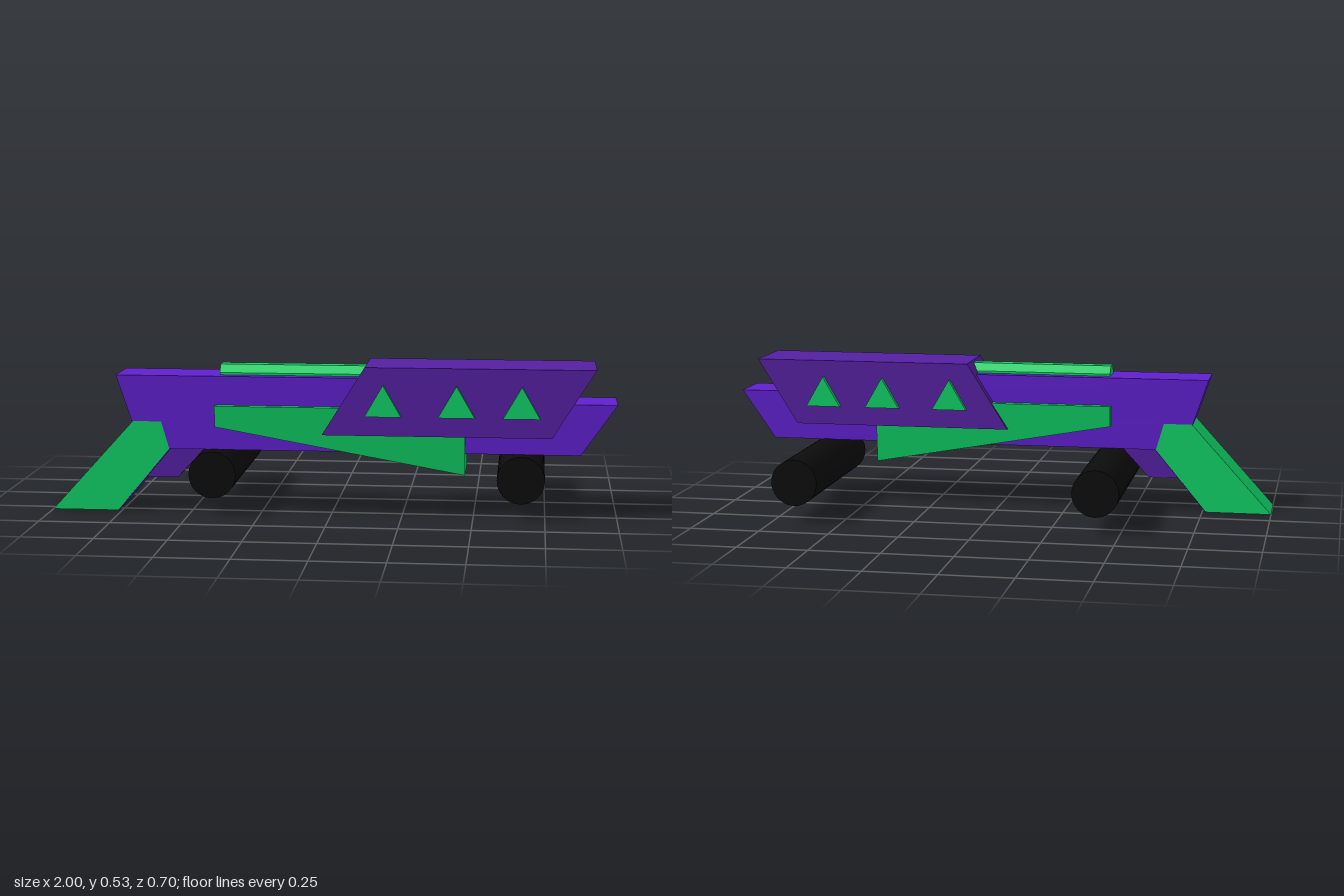
import * as THREE from 'three';

const ZC = 0.1965; // centre plane of the blaster

function mat(name, color) {
  const m = new THREE.MeshStandardMaterial({ color });
  m.name = name;
  return m;
}

// Side profile in x/y, extruded evenly about the centre plane
function profile(points, width) {
  const shape = new THREE.Shape(points.map(p => new THREE.Vector2(p[0], p[1])));
  const g = new THREE.ExtrudeGeometry(shape, { depth: width, bevelEnabled: false });
  return g.translate(0, 0, -width / 2);
}

// Rectangular frame running along x, sheared so that its ends slant with y
function slantedFrame(half, y0, y1, holeHalf, h0, h1, xBottom, slope, length) {
  const rect = (w, a, b) => [[-w, a], [w, a], [w, b], [-w, b]].map(p => new THREE.Vector2(...p));
  const shape = new THREE.Shape(rect(half, y0, y1));
  shape.holes.push(new THREE.Path(rect(holeHalf, h0, h1).reverse()));
  const g = new THREE.ExtrudeGeometry(shape, { depth: length, bevelEnabled: false });
  g.rotateY(Math.PI / 2);
  const p = g.attributes.position;
  for (let i = 0; i < p.count; i++) {
    p.setX(i, p.getX(i) + xBottom - length + slope * (p.getY(i) - y0));
  }
  g.computeVertexNormals();
  return g;
}

export function createModel() {
  const violet = mat('violet', 0x6020d0);
  const plum = mat('plum', 0x5620a4);
  const green = mat('green', 0x10d468);
  const black = mat('black', 0x0c0c0c);

  const model = new THREE.Group();
  model.name = 'blasterOnStand';
  const blaster = new THREE.Group();
  blaster.name = 'blaster';
  blaster.position.z = ZC;
  model.add(blaster);

  const add = (name, geometry, material, parent = blaster) => {
    const m = new THREE.Mesh(geometry, material);
    m.name = name;
    parent.add(m);
    return m;
  };

  // Main body, with a hollow slanted muzzle at its front end
  const d = 0.08;
  add('body', profile([
    [-0.765, 0.487], [-0.71, 0.323], [-0.605, 0.323], [-0.577, 0.226],
    [0.87 - d, 0.226], [0.995 - d, 0.405], [0.4, 0.405], [0.4, 0.487],
  ], 0.183), violet);
  add('muzzle', slantedFrame(0.0915, 0.226, 0.405, 0.06, 0.254, 0.376, 0.87, 0.125 / 0.179, d), violet);

  // Sleeve around the barrel, hollow at the front
  add('sleeve', profile([
    [-0.03, 0.29], [0.77 - d, 0.29], [0.92 - d, 0.53], [0.12, 0.53],
  ], 0.259), plum);
  add('sleeveRim', slantedFrame(0.1295, 0.29, 0.53, 0.1035, 0.313, 0.506, 0.77, 0.625, d), [violet, plum]);

  // Grip with a plate on its front face
  add('grip', profile([
    [-1, 0], [-0.765, 0], [-0.577, 0.226], [-0.605, 0.323], [-0.707, 0.323],
  ], 0.183), green);
  add('gripPlate', profile([
    [-0.764, 0.001], [-0.761, 0.001], [-0.573, 0.226], [-0.577, 0.226],
  ], 0.183), plum);

  // Trigger
  add('trigger', profile([
    [-0.665, 0.12], [-0.55, 0.12], [-0.45, 0.23], [-0.575, 0.23],
  ], 0.15), plum);

  // Wedge under the body, narrowing towards the bottom
  const wedge = profile([[-0.41, 0.385], [-0.41, 0.31], [0.47, 0.15], [0.47, 0.385]], 0.24);
  const wp = wedge.attributes.position;
  for (let i = 0; i < wp.count; i++) {
    wp.setZ(i, Math.sign(wp.getZ(i)) * (0.12 - 0.1 * (0.385 - wp.getY(i))));
  }
  wedge.computeVertexNormals();
  add('wedge', wedge, green);

  // Chamfered top rail
  const railShape = new THREE.Shape([
    [-0.05, 0.47], [0.05, 0.47], [0.05, 0.495], [0.024, 0.522], [-0.024, 0.522], [-0.05, 0.495],
  ].map(p => new THREE.Vector2(...p)));
  const rail = new THREE.ExtrudeGeometry(railShape, { depth: 0.55, bevelEnabled: false });
  add('topRail', rail.rotateY(Math.PI / 2).translate(-0.4, 0, 0), green);

  // Triangular studs through the sleeve
  for (const x of [0.185, 0.44, 0.665]) {
    add('stud', profile([[x - 0.064, 0.36], [x + 0.064, 0.36], [x, 0.471]], 0.301), green);
  }

  // Two wall pegs that carry the blaster
  for (const x of [-0.415, 0.665]) {
    const peg = add('peg', new THREE.CylinderGeometry(0.083, 0.083, 0.696, 40), black, model);
    peg.rotation.x = Math.PI / 2;
    peg.position.set(x, 0.145, 0);
  }

  return model;
}
